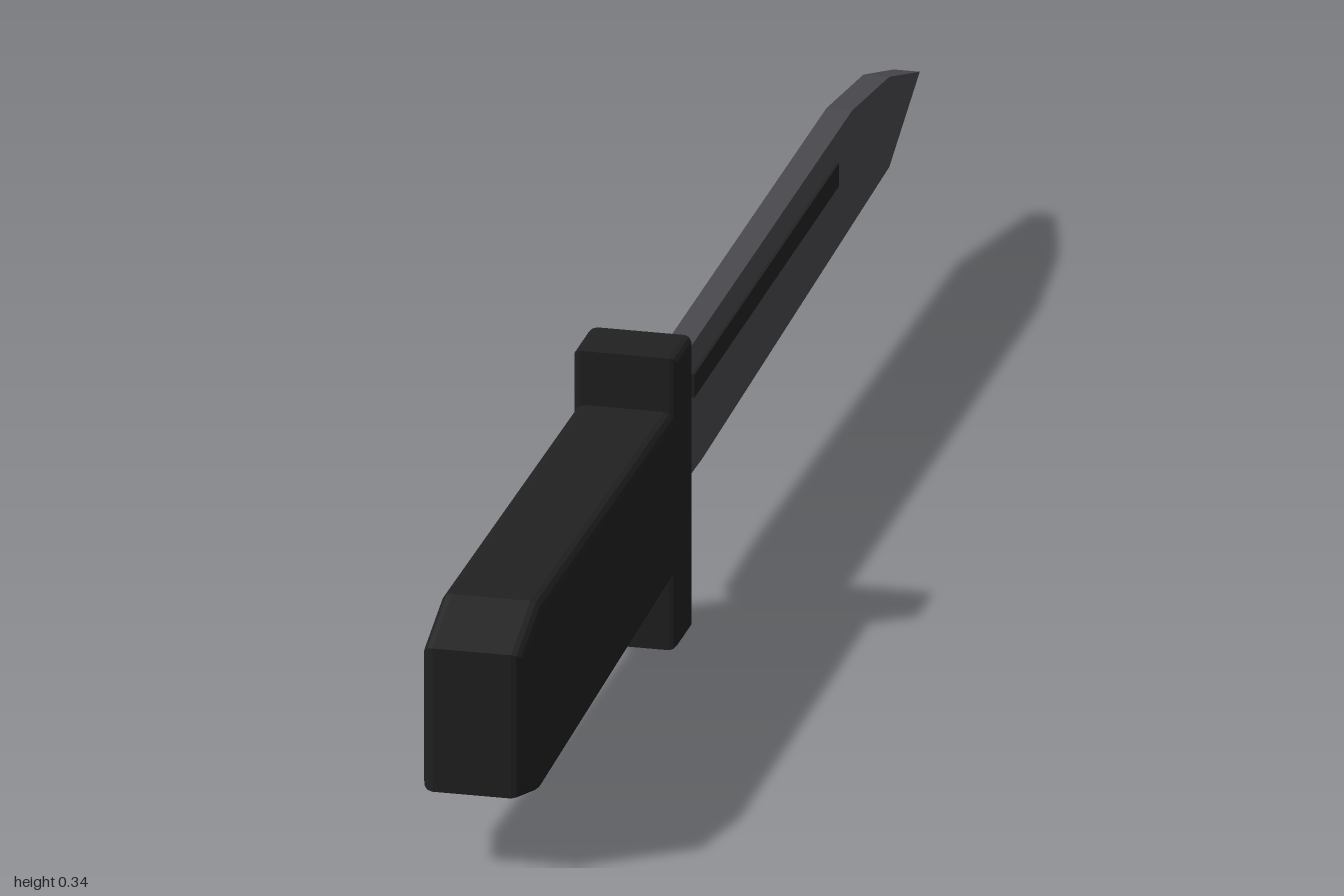
import * as THREE from 'three';

const material = (name, color) => {
  const m = new THREE.MeshStandardMaterial({ color });
  m.name = name;
  return m;
};

// Side outline given as [z, y] points, extruded across x and centred, with optional rounded edges
function slab(name, mat, outline, width, bevel = 0) {
  const shape = new THREE.Shape(outline.map(([z, y]) => new THREE.Vector2(z, y)));
  const geo = new THREE.ExtrudeGeometry(shape, {
    depth: width - 2 * bevel,
    bevelEnabled: bevel > 0,
    bevelSize: bevel,
    bevelThickness: bevel,
    bevelOffset: -bevel,
    bevelSegments: 3,
  });
  geo.translate(0, 0, bevel - width / 2);
  geo.rotateY(-Math.PI / 2);
  const mesh = new THREE.Mesh(geo, mat);
  mesh.name = name;
  return mesh;
}

export function createModel() {
  const grip = material('black grip', 0x212121);
  const steel = material('dark steel', 0x4a494d);
  const groove = material('groove black', 0x222223);

  const model = new THREE.Group();
  model.name = 'knife';

  // Handle with chamfered pommel end, swelling slightly towards the back
  model.add(slab('handle', grip, [
    [0.28, 0.084], [0.91, 0.064], [1, 0.088], [1, 0.255], [0.91, 0.285], [0.28, 0.277],
  ], 0.112, 0.012));

  // Cross guard
  model.add(slab('guard', grip, [
    [0.222, 0], [0.296, 0], [0.296, 0.34], [0.222, 0.34],
  ], 0.118, 0.01));

  // Flat blade with a clipped point
  model.add(slab('blade', steel, [
    [0.212, 0.142], [0.155, 0.114], [0, 0.11], [-0.86, 0.131],
    [-1, 0.19], [-0.86, 0.236], [-0.69, 0.26], [0.212, 0.26],
  ], 0.029));

  // Dark strip showing on both faces of the blade
  model.add(slab('fuller', groove, [
    [0.05, 0.2], [-0.615, 0.2], [-0.615, 0.227], [0.05, 0.227],
  ], 0.036));

  return model;
}
